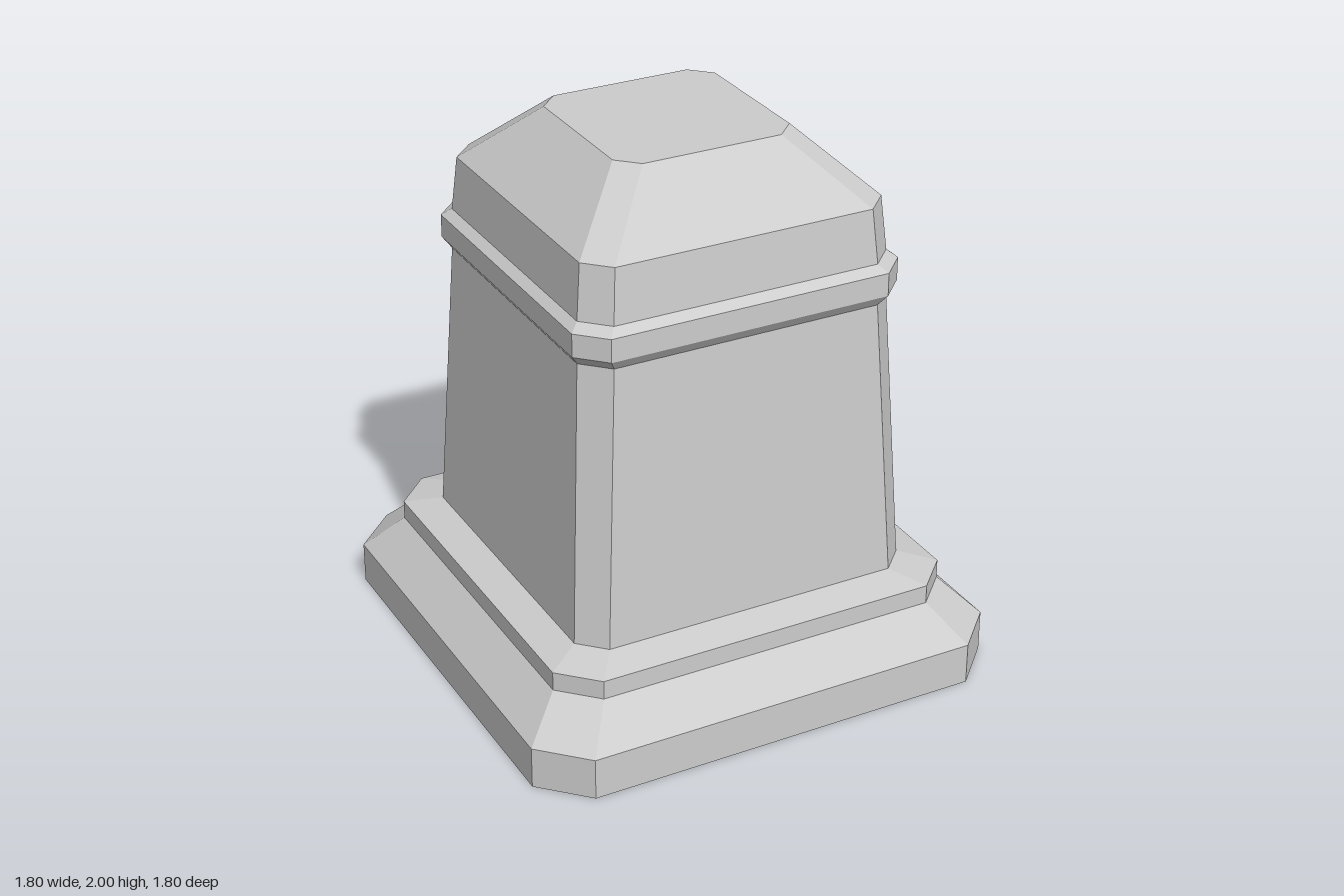
import * as THREE from 'three';

// Square outline with chamfered corners: h = half width, f = half length of the flat side
function ring([y, h, f]) {
  return [[f, h], [h, f], [h, -f], [f, -h], [-f, -h], [-h, -f], [-h, f], [-f, h]]
    .map(([x, z]) => [x, y, z]);
}

// Skin a stack of outlines, optionally closing the bottom and top
function loft(levels, closeBottom, closeTop) {
  const rings = levels.map(ring);
  const pos = [];
  const tri = (a, b, c) => pos.push(...a, ...b, ...c);
  for (let k = 0; k < rings.length - 1; k++) {
    const lo = rings[k], hi = rings[k + 1];
    for (let i = 0; i < 8; i++) {
      const j = (i + 1) % 8;
      tri(lo[i], lo[j], hi[j]);
      tri(lo[i], hi[j], hi[i]);
    }
  }
  const first = rings[0], last = rings[rings.length - 1];
  for (let i = 1; i < 7; i++) {
    if (closeBottom) tri(first[0], first[i + 1], first[i]);
    if (closeTop) tri(last[0], last[i], last[i + 1]);
  }
  const geo = new THREE.BufferGeometry();
  geo.setAttribute('position', new THREE.Float32BufferAttribute(pos, 3));
  geo.computeVertexNormals();
  return geo;
}

export function createModel() {
  const group = new THREE.Group();
  group.name = 'stonePedestal';
  const stone = new THREE.MeshStandardMaterial({ color: 0xcccccc });
  stone.name = 'pale grey stone';
  stone.flatShading = true;

  const add = (name, levels, closeBottom = false, closeTop = false) => {
    const mesh = new THREE.Mesh(loft(levels, closeBottom, closeTop), stone);
    mesh.name = name;
    group.add(mesh);
  };

  // Each level is [height, half width, half flat side]
  add('base', [[0, 0.9, 0.74], [0.155, 0.9, 0.74], [0.29, 0.768, 0.64]], true);
  add('step', [[0.29, 0.768, 0.64], [0.36, 0.768, 0.64], [0.39, 0.645, 0.555]]);
  add('shaft', [[0.39, 0.645, 0.555], [1.425, 0.59, 0.5]]);
  add('collar', [[1.425, 0.59, 0.5], [1.465, 0.618, 0.523], [1.55, 0.618, 0.523], [1.577, 0.586, 0.497]]);
  add('cap', [[1.577, 0.586, 0.497], [1.775, 0.567, 0.482], [2, 0.333, 0.26]], false, true);

  return group;
}
